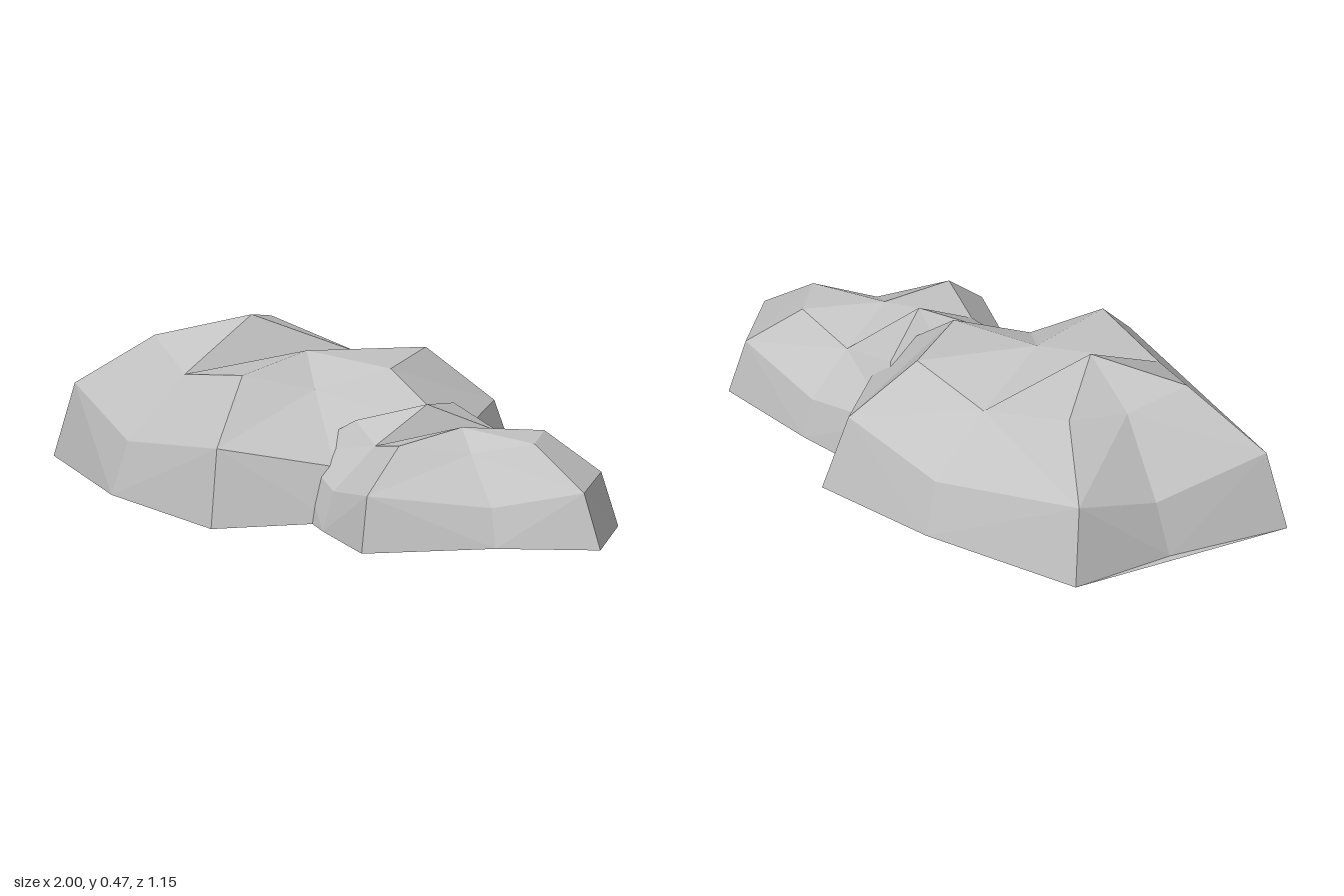
import * as THREE from 'three';

const stone = new THREE.MeshStandardMaterial({ color: 0xc4c4c4, flatShading: true });
stone.name = 'grey stone';

// Crown: two small fans (peak 9, shoulder 10) meeting in a valley between ring points 1 and 6
const CROWN = [
  [9, 7, 8], [9, 8, 0], [9, 0, 1], [9, 6, 7], [9, 1, 6],
  [10, 6, 1], [10, 1, 2], [10, 2, 3], [10, 3, 4], [10, 4, 5], [10, 5, 6],
];

// Rings hold [x, z] or [x, z, y] points, counterclockwise from above
function rock(name, base, middle, upper, middleY, upperY, peaks) {
  const n = base.length;
  const at = (points, y) => points.map(([x, z, own]) => [x, own ?? y, z]);
  const rings = [at(base, 0), at(middle, middleY), at(upper, upperY)];
  const top = [...rings[2], ...peaks];
  const verts = [];
  const tri = (a, b, c) => verts.push(...a, ...b, ...c);

  // Faceted sides
  for (let r = 0; r < 2; r++) {
    for (let i = 0; i < n; i++) {
      const j = (i + 1) % n;
      const [a, b, c, d] = [rings[r][i], rings[r][j], rings[r + 1][j], rings[r + 1][i]];
      // Split each quad along its more bulging diagonal
      if (a[1] + c[1] > b[1] + d[1]) {
        tri(a, b, c);
        tri(a, c, d);
      } else {
        tri(a, b, d);
        tri(b, c, d);
      }
    }
  }
  // Notched top
  for (const [a, b, c] of CROWN) tri(top[a], top[b], top[c]);
  // Flat underside
  for (let i = 1; i < n - 1; i++) tri(rings[0][0], rings[0][i + 1], rings[0][i]);

  const geometry = new THREE.BufferGeometry();
  geometry.setAttribute('position', new THREE.Float32BufferAttribute(verts, 3));
  geometry.computeVertexNormals();
  const mesh = new THREE.Mesh(geometry, stone);
  mesh.name = name;
  return mesh;
}

export function createModel() {
  const group = new THREE.Group();
  group.name = 'rocks';

  group.add(rock('largeRock',
    [[-1, 0.12], [-0.57, 0.41], [-0.08, 0.575], [0.17, 0.29], [0.44, -0.03],
      [0.25, -0.51], [-0.19, -0.575], [-0.75, -0.575], [-0.84, -0.24]],
    [[-0.93, 0.11], [-0.54, 0.37, 0.16], [-0.1, 0.52], [0.14, 0.26, 0.16], [0.38, -0.03],
      [0.19, -0.46], [-0.19, -0.53, 0.16], [-0.72, -0.52], [-0.79, -0.24, 0.16]],
    [[-0.68, 0.05], [-0.45, 0.21, 0.345], [-0.17, 0.3], [-0.03, 0.13, 0.345], [0.13, -0.03],
      [0.05, -0.31], [-0.23, -0.35, 0.335], [-0.55, -0.35], [-0.62, -0.16, 0.37]],
    0.23, 0.4, [[-0.42, 0.475, -0.08], [-0.18, 0.41, -0.03]]));

  group.add(rock('smallRock',
    [[-0.1, 0.19], [0.2, 0.4], [0.46, 0.555], [0.74, 0.27], [1, 0.1],
      [0.86, -0.175], [0.5, -0.28], [0.12, -0.36], [0.02, -0.07]],
    [[-0.05, 0.18], [0.21, 0.36, 0.115], [0.45, 0.515], [0.71, 0.25, 0.115], [0.94, 0.1],
      [0.82, -0.145], [0.49, -0.25, 0.115], [0.14, -0.32], [0.06, -0.07, 0.115]],
    [[0.15, 0.17], [0.29, 0.26, 0.245], [0.445, 0.35], [0.59, 0.19, 0.25], [0.75, 0.09],
      [0.67, -0.065], [0.46, -0.12, 0.24], [0.25, -0.18], [0.18, -0.02, 0.265]],
    0.165, 0.285, [[0.335, 0.34, 0.065], [0.49, 0.3, 0.1]]));

  return group;
}
